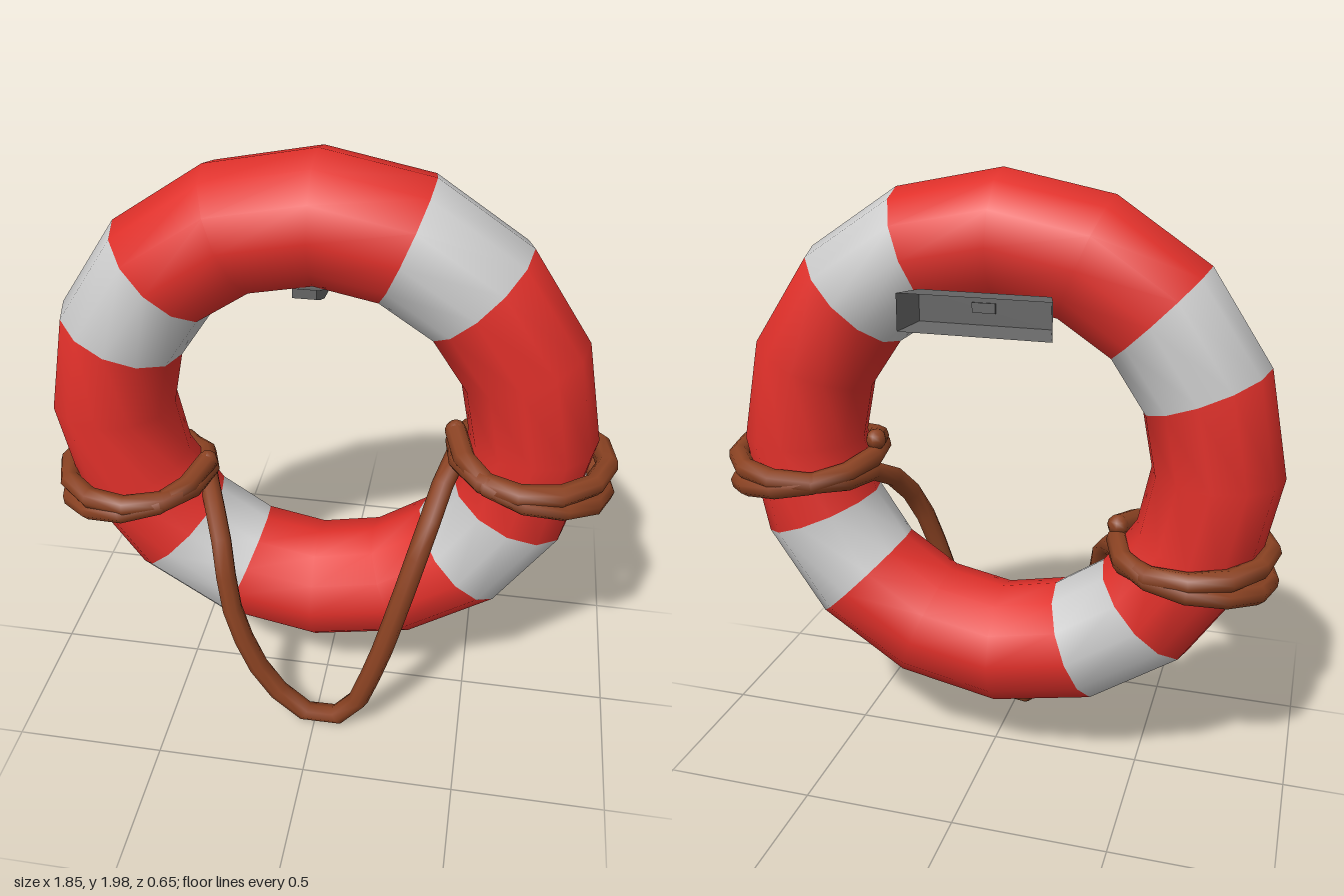
import * as THREE from 'three';

const mat = (color, side = THREE.FrontSide) => new THREE.MeshStandardMaterial({ color, side });

function add(parent, name, geometry, material) {
  const mesh = new THREE.Mesh(geometry, material);
  mesh.name = name;
  parent.add(mesh);
  return mesh;
}

// Ring: sixteen segments, one white band then three red ones, four times round
function buildRing() {
  const ring = new THREE.Group();
  ring.name = 'ring';
  const red = mat(0xe0302a), white = mat(0xcccccc), step = Math.PI / 8;
  for (let i = 0; i < 4; i++) {
    const start = Math.PI / 4 + i * Math.PI / 2;
    add(ring, 'whiteBand', new THREE.TorusGeometry(0.6825, 0.2035, 12, 1, step), white).rotation.z = start;
    add(ring, 'redSection', new THREE.TorusGeometry(0.6825, 0.2035, 12, 3, 3 * step), red).rotation.z = start + step;
  }
  ring.position.set(-0.03, 1.115, -0.02);
  return ring;
}

// Two turns round the ring, from the inner side over the back; heights are given per half turn
function coil(side, heights) {
  const points = [];
  for (let i = 0; i <= 16; i++) {
    const a = i * Math.PI / 4, k = Math.min(Math.floor(i / 4), 3);
    points.push(new THREE.Vector3(
      side * (0.65 - 0.24 * Math.cos(a)),
      THREE.MathUtils.lerp(heights[k], heights[k + 1], i / 4 - k),
      -0.01 - 0.242 * Math.sin(a)));
  }
  return points;
}

// Rope: left coil, hanging loop, right coil
function buildRope() {
  const rope = new THREE.Group();
  rope.name = 'rope';
  const material = mat(0x8a4222), radius = 0.035;
  const hang = [
    [-0.33, 0.72, 0.17], [-0.28, 0.45, 0.24], [-0.15, 0.16, 0.26], [0.01, 0.038, 0.265],
    [0.12, 0.1, 0.275], [0.2, 0.3, 0.285], [0.29, 0.63, 0.25], [0.35, 0.85, 0.17],
  ].map(p => new THREE.Vector3(...p));
  const points = [
    ...coil(-1, [0.82, 0.86, 0.86, 0.76, 0.9]).reverse(),
    ...hang,
    ...coil(1, [1.0, 1.05, 1.06, 0.94, 1.11]),
  ];
  const curve = new THREE.CatmullRomCurve3(points);
  add(rope, 'ropeLength', new THREE.TubeGeometry(curve, 66, radius, 8), material);
  for (const end of [points[0], points[points.length - 1]])
    add(rope, 'ropeEnd', new THREE.SphereGeometry(radius, 8, 6), material).position.copy(end);
  return rope;
}

// Wall bracket: a flared tray open at the back, with a strap cradling the ring
function buildBracket() {
  const bracket = new THREE.Group();
  bracket.name = 'wallBracket';
  const metal = mat(0x666666, THREE.DoubleSide);

  const tray = new THREE.BoxGeometry(0.4, 0.095, 0.11);
  tray.setIndex(Array.from(tray.index.array).slice(0, 30)); // leave out the back face
  const pos = tray.attributes.position;
  for (let i = 0; i < pos.count; i++)
    if (pos.getZ(i) < 0) pos.setXY(i, pos.getX(i) * 1.15, pos.getY(i) * 1.18);
  tray.computeVertexNormals();
  add(bracket, 'tray', tray, metal).position.set(-0.03, 1.62, -0.275);

  const path = [[-0.23, 1.61], [-0.13, 1.595], [-0.02, 1.57], [0.08, 1.585], [0.15, 1.615], [0.21, 1.645]];
  const shape = new THREE.Shape([
    ...path.map(([z, y]) => new THREE.Vector2(z, y)),
    ...path.map(([z, y]) => new THREE.Vector2(z, y + 0.03)).reverse(),
  ]);
  const strap = add(bracket, 'strap', new THREE.ExtrudeGeometry(shape, { depth: 0.07, bevelEnabled: false }), metal);
  strap.rotation.y = -Math.PI / 2;
  strap.position.x = 0.005;
  return bracket;
}

export function createModel() {
  const model = new THREE.Group();
  model.name = 'lifebuoy';
  model.add(buildRing(), buildRope(), buildBracket());
  return model;
}
